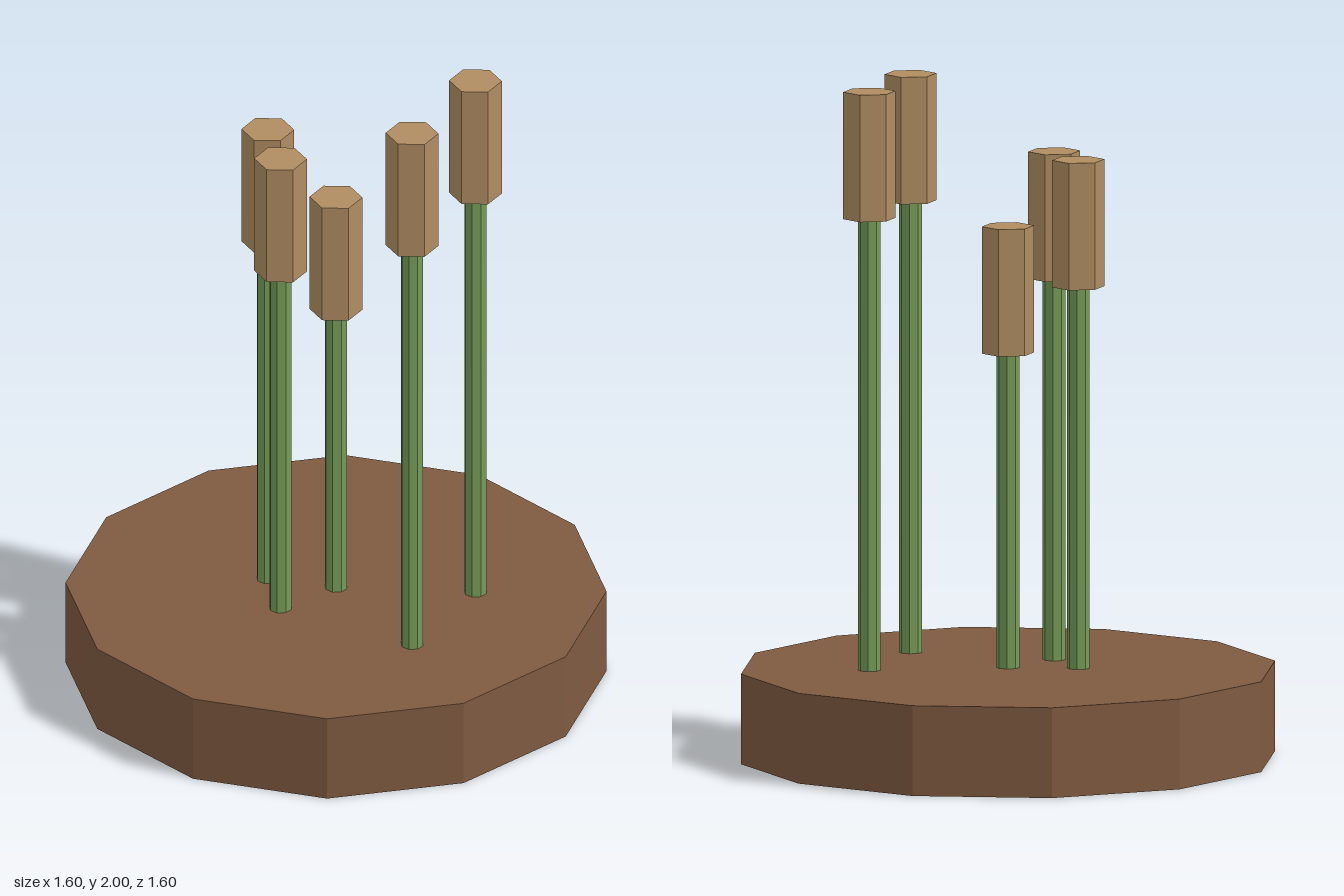
import * as THREE from 'three';

const BASE_HEIGHT = 0.27;
const HEAD_HEIGHT = 0.38;

function material(color) {
  return new THREE.MeshStandardMaterial({ color, flatShading: true });
}

// Upright prism standing on height y
function prism(name, radius, height, sides, y, mat) {
  const mesh = new THREE.Mesh(new THREE.CylinderGeometry(radius, radius, height, sides), mat);
  mesh.name = name;
  mesh.position.y = y + height / 2;
  return mesh;
}

export function createModel() {
  const model = new THREE.Group();
  model.name = 'reedCluster';
  const soil = material(0x7f5a40);
  const green = material(0x769b58);
  const brown = material(0xb08d62);

  // Twelve-sided ground disc
  model.add(prism('groundDisc', 0.8, BASE_HEIGHT, 12, 0, soil));

  // Reeds: x, z, height of the top
  const reeds = [
    [0, 0, 1.59],
    [0.35, 0.22, 2],
    [0.035, 0.412, 2],
    [-0.204, 0.034, 1.79],
    [-0.153, -0.141, 1.79],
  ];
  for (const [x, z, top] of reeds) {
    const reed = new THREE.Group();
    reed.name = 'reed';
    reed.position.set(x, 0, z);
    const headBottom = top - HEAD_HEIGHT;
    reed.add(prism('stem', 0.034, headBottom - BASE_HEIGHT, 8, BASE_HEIGHT, green));
    reed.add(prism('seedHead', 0.078, HEAD_HEIGHT, 6, headBottom, brown));
    model.add(reed);
  }
  return model;
}
